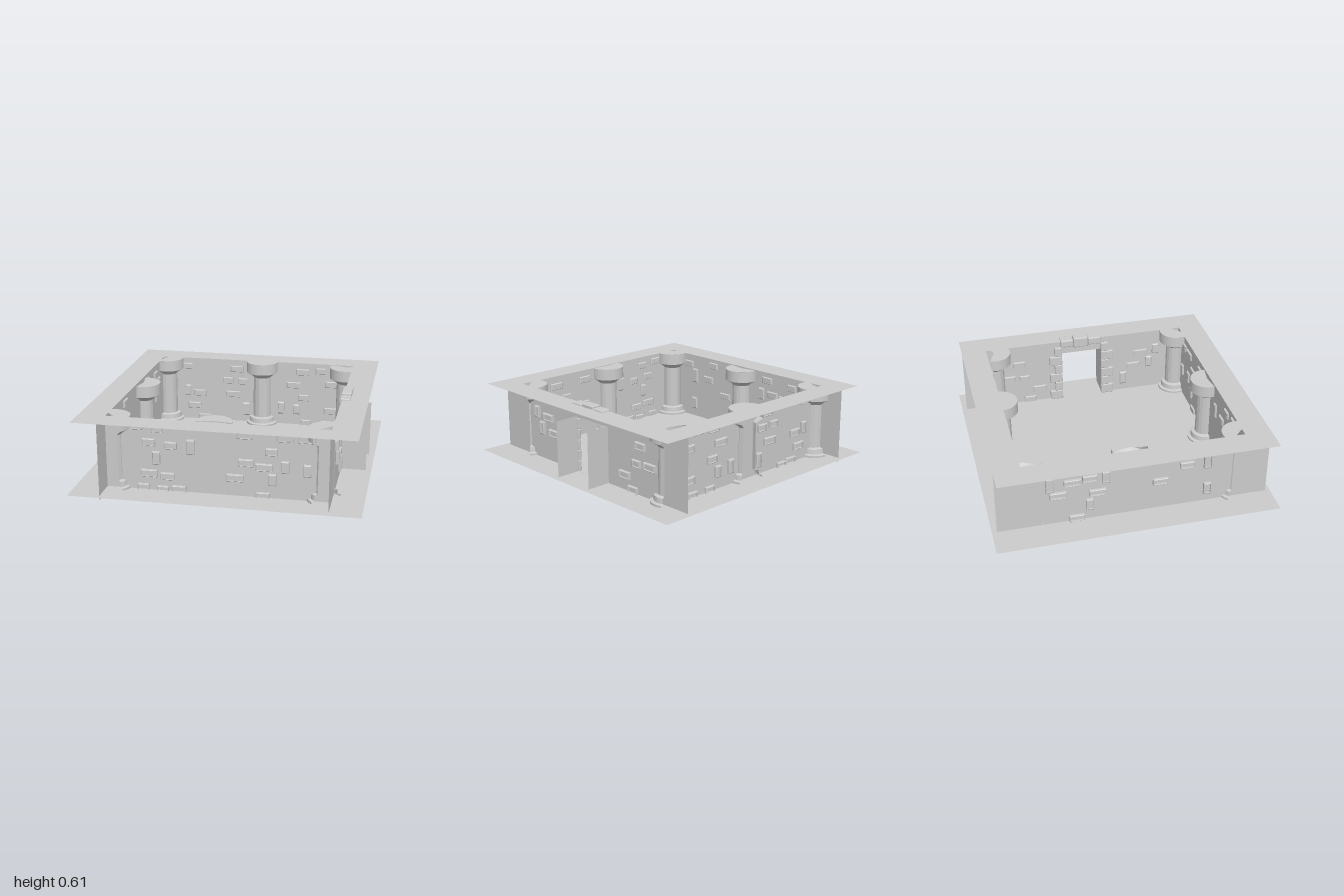
import * as THREE from 'three';
import { RoundedBoxGeometry } from 'three/addons/geometries/RoundedBoxGeometry.js';

const FLOOR = 0.07, ROOF = 0.585, WALL = 0.78, WALL_BASE = 0.04;
const DOOR = { left: -0.19, right: 0.14, top: 0.475 };

const flat = new THREE.MeshStandardMaterial({ color: 0xcccccc, side: THREE.DoubleSide, flatShading: true });
const smooth = new THREE.MeshStandardMaterial({ color: 0xcccccc, side: THREE.DoubleSide });

function add(parent, name, geometry, material = flat) {
  const mesh = new THREE.Mesh(geometry, material);
  mesh.name = name;
  parent.add(mesh);
  return mesh;
}

function seeded(seed) {
  return () => {
    seed = (seed * 16807) % 2147483647;
    return seed / 2147483647;
  };
}

function rect(Type, x0, y0, x1, y1) {
  const p = new Type();
  p.moveTo(x0, y0);
  p.lineTo(x1, y0);
  p.lineTo(x1, y1);
  p.lineTo(x0, y1);
  p.closePath();
  return p;
}

// Bevelled brick with an open back; its rim passes through the wall
function brickGeometry() {
  const profile = [[0, 0.014], [0.58, 0.014], [0.707, 0.007], [0.707, -0.018], [0.6, -0.022]];
  const g = new THREE.LatheGeometry(profile.map(p => new THREE.Vector2(...p)), 4);
  return g.rotateY(Math.PI / 4).rotateX(Math.PI / 2);
}
const brick = brickGeometry();

function addBrick(parent, u, y, w, h) {
  const mesh = add(parent, 'brick', brick);
  mesh.position.set(u, y, 0);
  mesh.scale.set(w, h, 1);
}

// Wall in its own frame: u runs along local x, local +z faces into the room
function makeWall({ name, x, z, turn, from, to, base, door, keepClear, seed }) {
  const wall = new THREE.Group();
  wall.name = name;
  wall.position.set(x, 0, z);
  wall.rotation.y = turn;
  const shape = rect(THREE.Shape, from, base, to, ROOF);
  if (door) shape.holes.push(rect(THREE.Path, DOOR.left, base + 0.001, DOOR.right, DOOR.top));
  add(wall, name + 'Panel', new THREE.ShapeGeometry(shape));

  // Scattered bricks on a loose grid, some upright and some lying
  const random = seeded(seed);
  for (let row = 0; row < 5; row++) {
    for (let col = 0; col < 9; col++) {
      const u = -0.6 + (col + (row % 2) * 0.5) * 0.142 + (random() - 0.5) * 0.06;
      const y = 0.085 + row * 0.108 + (random() - 0.5) * 0.03;
      const upright = row > 0 && row < 4 && random() < 0.45;
      const skip = random() < 0.42;
      const nearPillar = keepClear !== undefined && Math.abs(u - keepClear) < 0.12;
      const nearDoor = door && u > DOOR.left - 0.14 && u < DOOR.right + 0.14;
      if (skip || nearPillar || nearDoor || Math.abs(u) > 0.62) continue;
      const long = 0.08 + random() * 0.04;
      addBrick(wall, u, y, upright ? 0.052 : long, upright ? long : 0.05);
    }
  }
  return wall;
}

// Pillar shell, open towards the wall: wide base, faceted shaft, flared capital
function makePillar(x, z, facing, degrees) {
  const pillar = new THREE.Group();
  pillar.name = 'pillar';
  pillar.position.set(x, 0, z);
  const arc = THREE.MathUtils.degToRad(degrees);
  const parts = [
    ['pillarBase', 24, [[0.125, 0], [0.125, 0.085], [0.102, 0.09], [0.098, 0.125], [0.07, 0.132]]],
    ['pillarShaft', 9, [[0.072, 0.125], [0.07, 0.47]]],
    ['pillarCapital', 24, [[0.07, 0.46], [0.085, 0.475], [0.125, 0.5], [0.125, ROOF]]],
  ];
  for (const [name, sides, points] of parts) {
    const profile = points.map(p => new THREE.Vector2(...p));
    add(pillar, name, new THREE.LatheGeometry(profile, sides, facing - arc / 2, arc));
  }
  const cap = add(pillar, 'pillarTop', new THREE.CircleGeometry(0.125, 32, facing - Math.PI / 2 - arc / 2, arc));
  cap.rotation.x = -Math.PI / 2;
  cap.position.y = ROOF + 0.001;
  return pillar;
}

// Doorway: side panels leading out, stacked jamb blocks and a lintel
function makeDoorway() {
  const doorway = new THREE.Group();
  doorway.name = 'doorway';
  for (const [z, side] of [[DOOR.right, 1], [DOOR.left, -1]]) {
    const panel = rect(THREE.Shape, WALL, FLOOR, 0.96, 0.48);
    add(doorway, 'doorSidePanel', new THREE.ShapeGeometry(panel)).position.z = z;
    // Jamb blocks stand on the room side, alternating wide and narrow
    for (let i = 0; i < 6; i++) {
      const w = i % 2 ? 0.06 : 0.1;
      const block = add(doorway, 'jambBlock', new RoundedBoxGeometry(0.026, 0.076, w, 1, 0.006), smooth);
      block.position.set(0.766, 0.11 + i * 0.078, z + side * (w / 2 - 0.007));
    }
  }
  for (const [z, w, h] of [[0.08, 0.1, 0.058], [-0.03, 0.115, 0.08], [-0.14, 0.1, 0.058]]) {
    const stone = add(doorway, 'lintelStone', new RoundedBoxGeometry(0.075, h, w, 2, 0.008), smooth);
    stone.position.set(0.792, 0.567, z);
  }
  return doorway;
}

export function createModel() {
  const room = new THREE.Group();
  room.name = 'pillaredRoom';

  // Floor sheet and open roof rim
  const floor = add(room, 'floor', new THREE.PlaneGeometry(2, 2));
  floor.rotation.x = -Math.PI / 2;
  floor.position.y = FLOOR;
  const rim = rect(THREE.Shape, -0.965, -0.967, 0.96, 0.967);
  rim.holes.push(rect(THREE.Path, -0.775, -0.78, 0.77, 0.78));
  const roof = add(room, 'roofRim', new THREE.ShapeGeometry(rim));
  roof.rotation.x = -Math.PI / 2;
  roof.position.y = ROOF;

  // Side walls run past the corners; front and back walls fit between them
  const half = Math.PI / 2;
  const walls = [
    { name: 'frontWall', x: 0, z: WALL, turn: Math.PI, from: -WALL, to: WALL, base: WALL_BASE, keepClear: 0.025, seed: 11 },
    { name: 'backWall', x: 0, z: -WALL, turn: 0, from: -WALL, to: WALL, base: WALL_BASE, keepClear: 0.04, seed: 523 },
    { name: 'rightWall', x: -WALL, z: 0, turn: half, from: -0.967, to: 0.965, base: WALL_BASE, keepClear: 0.03, seed: 3701 },
    { name: 'leftWall', x: WALL, z: 0, turn: -half, from: -0.965, to: 0.967, base: FLOOR, door: true, seed: 9041 },
  ];
  for (const wall of walls) room.add(makeWall(wall));

  // Pillars: position, direction the closed side faces, and its sweep in degrees
  const pillars = [
    [-0.735, -0.03, half, 200],
    [0.04, -0.785, 0, 232],
    [-0.025, 0.755, Math.PI, 196],
    [-0.735, 0.755, Math.PI * 0.75, 186],
    [0.735, 0.74, -Math.PI * 0.75, 186],
    [-0.735, -0.755, half * 0.85, 205],
    [0.72, -0.725, 0, 225],
  ];
  for (const pillar of pillars) room.add(makePillar(...pillar));

  room.add(makeDoorway());
  return room;
}
